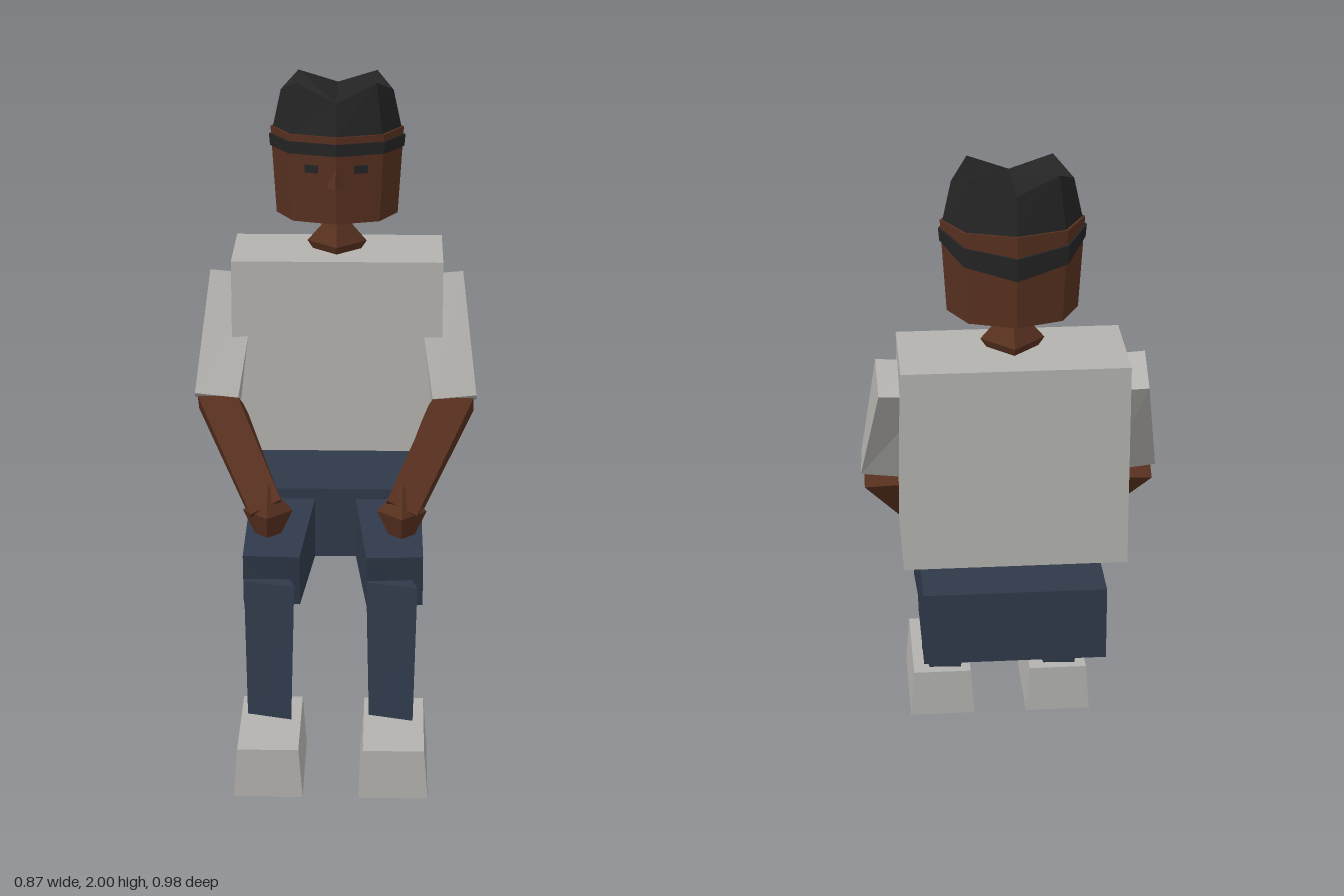
import * as THREE from 'three';

function material(name, color) {
  const m = new THREE.MeshStandardMaterial({ color });
  m.name = name;
  return m;
}

// Faceted solid through rings listed bottom to top, each counterclockwise from above.
function loft(rings) {
  const out = [];
  const tri = (a, b, c) => out.push(...a, ...b, ...c);
  const n = rings[0].length;
  for (let r = 0; r < rings.length - 1; r++) {
    for (let i = 0; i < n; i++) {
      const j = (i + 1) % n, lo = rings[r], hi = rings[r + 1];
      tri(lo[i], lo[j], hi[j]);
      tri(lo[i], hi[j], hi[i]);
    }
  }
  const first = rings[0], last = rings[rings.length - 1];
  for (let i = 1; i < n - 1; i++) {
    tri(last[0], last[i], last[i + 1]);
    tri(first[0], first[i + 1], first[i]);
  }
  const g = new THREE.BufferGeometry();
  g.setAttribute('position', new THREE.Float32BufferAttribute(out, 3));
  g.computeVertexNormals();
  return g;
}

const mirror = (rings) => rings.map((r) => r.map(([x, y, z]) => [-x, y, z]).reverse());
const shift = (rings, dx) => rings.map((r) => r.map(([x, y, z]) => [x + dx, y, z]));

// Eight-sided ring round the head axis; heights run front, diagonal, side, rear diagonal, back.
function headRing(rx, rz, heights) {
  return Array.from({ length: 8 }, (_, i) => {
    const a = (i * Math.PI) / 4;
    return [rx * Math.sin(a), heights[i > 4 ? 8 - i : i], -0.315 + rz * Math.cos(a)];
  });
}
const level = (y) => [y, y, y, y, y];

// Four-sided pointed shape used for neck and hands.
function diamond(profile) {
  const g = new THREE.LatheGeometry(profile.map(([r, y]) => new THREE.Vector2(r, y)), 4).toNonIndexed();
  g.computeVertexNormals();
  return g;
}

export function createModel() {
  const model = new THREE.Group();
  model.name = 'seatedFigure';

  const cloth = material('light grey cloth', 0xb3b2ae);
  const denim = material('navy trousers', 0x2f3949);
  const skin = material('brown skin', 0x57301f);
  const black = material('black hair', 0x242424);
  for (const m of [cloth, denim, skin, black]) m.flatShading = true;

  const add = (name, geometry, mat, x = 0, y = 0, z = 0) => {
    const mesh = new THREE.Mesh(geometry, mat);
    mesh.name = name;
    mesh.position.set(x, y, z);
    model.add(mesh);
    return mesh;
  };
  const pair = (name, rings, mat) => {
    add(name + 'Left', loft(rings), mat);
    add(name + 'Right', loft(mirror(rings)), mat);
  };

  // Torso and hips
  add('torso', new THREE.BoxGeometry(0.643, 0.607, 0.315), cloth, 0.003, 1.157, -0.332);
  add('hips', new THREE.BoxGeometry(0.535, 0.225, 0.35), denim, 0.002, 0.638, -0.285);

  // Arms
  pair('sleeve', [
    [[0.297, 1.05, -0.1], [0.43, 1.06, -0.11], [0.435, 1.02, -0.19], [0.29, 1.01, -0.205]],
    [[0.24, 1.4, -0.25], [0.387, 1.412, -0.255], [0.384, 1.352, -0.39], [0.235, 1.345, -0.385]],
  ], cloth);
  pair('forearm', [
    [[0.16, 0.8, 0.11], [0.25, 0.76, 0.135], [0.25, 0.7, 0.05], [0.155, 0.72, 0.03]],
    [[0.3, 1.052, -0.112], [0.422, 1.048, -0.12], [0.425, 0.98, -0.2], [0.28, 0.985, -0.2]],
  ], skin);
  for (const [side, x] of [['Left', 0.205], ['Right', -0.2]]) {
    add('hand' + side, diamond([[0, 0.68], [0.04, 0.68], [0.075, 0.755], [0, 0.84]]), skin, x, 0, 0.083);
  }

  // Thighs, from the knee back into the hips
  pair('thigh', [
    [[0.27, 0.49, 0.18], [0.1, 0.49, 0.185], [0.1, 0.655, 0.215], [0.27, 0.655, 0.205]],
    [[0.262, 0.535, -0.2], [0.053, 0.535, -0.2], [0.053, 0.735, -0.2], [0.262, 0.735, -0.2]],
  ], denim);

  // Shins share one slight twist to the same side
  const shin = [
    [[0.11, 0.15, 0.25], [0.243, 0.15, 0.288], [0.225, 0.15, 0.165], [0.125, 0.15, 0.16]],
    [[0.1, 0.575, 0.212], [0.253, 0.58, 0.262], [0.225, 0.575, 0.132], [0.115, 0.575, 0.125]],
  ];
  add('shinLeft', loft(shin), denim);
  add('shinRight', loft(shift(shin, -0.367)), denim);

  // Shoes, narrower on top
  pair('shoe', [
    [[0.083, 0, 0.49], [0.288, 0, 0.49], [0.288, 0, 0.13], [0.083, 0, 0.13]],
    [[0.095, 0.155, 0.49], [0.276, 0.155, 0.49], [0.276, 0.155, 0.13], [0.095, 0.155, 0.13]],
  ], cloth);

  // Neck and head
  add('neck', diamond([[0, 1.465], [0.074, 1.465], [0.091, 1.49], [0, 1.595]]), skin, 0, 0, -0.315);
  add('head', loft([headRing(0.185, 0.152, level(1.58)), headRing(0.202, 0.161, level(1.848))]), skin);

  // Dark band that drops towards the nape
  add('hairBand', loft([
    headRing(0.204, 0.163, [1.79, 1.79, 1.788, 1.75, 1.72]),
    headRing(0.207, 0.165, [1.827, 1.827, 1.825, 1.805, 1.785]),
  ]), black);

  // Hair with four raised corners
  add('hair', loft([
    headRing(0.195, 0.154, level(1.845)),
    headRing(0.17, 0.135, [1.945, 2.0, 1.96, 2.0, 1.955]),
  ]), black);

  // Nose
  add('nose', loft([
    [[0, 1.7, -0.113], [0.032, 1.69, -0.175], [-0.032, 1.69, -0.175]],
    [[0, 1.752, -0.15], [0.002, 1.752, -0.175], [-0.002, 1.752, -0.175]],
  ]), skin);

  // Eyes lie on the two front facets of the face
  for (const s of [-1, 1]) {
    const eye = add(s > 0 ? 'eyeLeft' : 'eyeRight', new THREE.BoxGeometry(0.042, 0.024, 0.008), black, s * 0.074, 1.747, -0.181);
    eye.rotation.y = s * 0.32;
  }
  return model;
}
